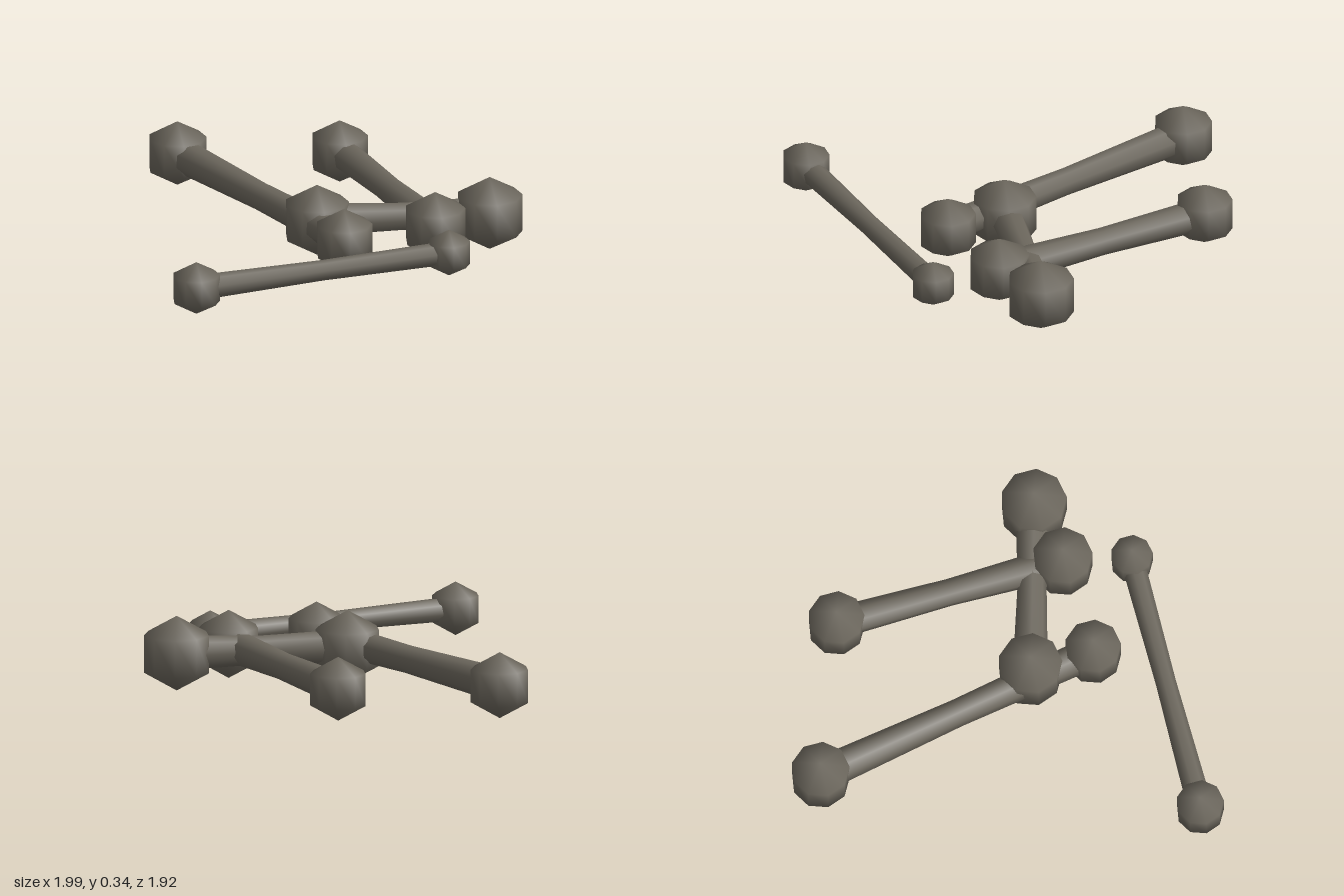
import * as THREE from 'three';

// Each bone: two knob ends [x, z, radius], height of its axis, shaft radii [end a, middle, end b]
const BONES = [
  { a: [-0.89, 0.24, 0.122], b: [0.15, 0.865, 0.108], y: 0.156, shaft: [0.057, 0.046, 0.053] },
  { a: [0.415, -0.84, 0.15], b: [-0.04, 0.425, 0.145], y: 0.177, shaft: [0.078, 0.062, 0.073] },
  { a: [0.868, -0.278, 0.145], b: [0.355, 0.635, 0.155], y: 0.177, shaft: [0.073, 0.061, 0.077] },
  { a: [0.1, 0.17, 0.165], b: [0.63, 0.732, 0.17], y: 0.174, shaft: [0.078, 0.065, 0.08] },
];

export function createModel() {
  const model = new THREE.Group();
  model.name = 'bonePile';
  const boneMaterial = new THREE.MeshStandardMaterial({ color: 0x6b665c });
  boneMaterial.name = 'weathered grey bone';

  const up = new THREE.Vector3(0, 1, 0);

  BONES.forEach(({ a, b, y, shaft }, i) => {
    const bone = new THREE.Group();
    bone.name = `bone${i + 1}`;
    const start = new THREE.Vector3(a[0], y, a[1]);
    const end = new THREE.Vector3(b[0], y, b[1]);
    const dir = end.clone().sub(start);
    const length = dir.length();

    // Shaft pinched at the middle, running between the knob centres
    const profile = shaft.map((r, k) => new THREE.Vector2(r, (k / 2) * length));
    const shaftMesh = new THREE.Mesh(new THREE.LatheGeometry(profile, 8), boneMaterial);
    shaftMesh.name = 'shaft';
    shaftMesh.position.copy(start);
    shaftMesh.quaternion.setFromUnitVectors(up, dir.normalize());
    bone.add(shaftMesh);

    // Coarse rounded knobs at both ends
    [[a, start], [b, end]].forEach(([spec, centre], k) => {
      const knob = new THREE.Mesh(new THREE.SphereGeometry(spec[2], 9, 3), boneMaterial);
      knob.name = k ? 'knobB' : 'knobA';
      knob.position.copy(centre);
      knob.rotation.y = Math.PI / 18;
      bone.add(knob);
    });
    model.add(bone);
  });
  return model;
}
